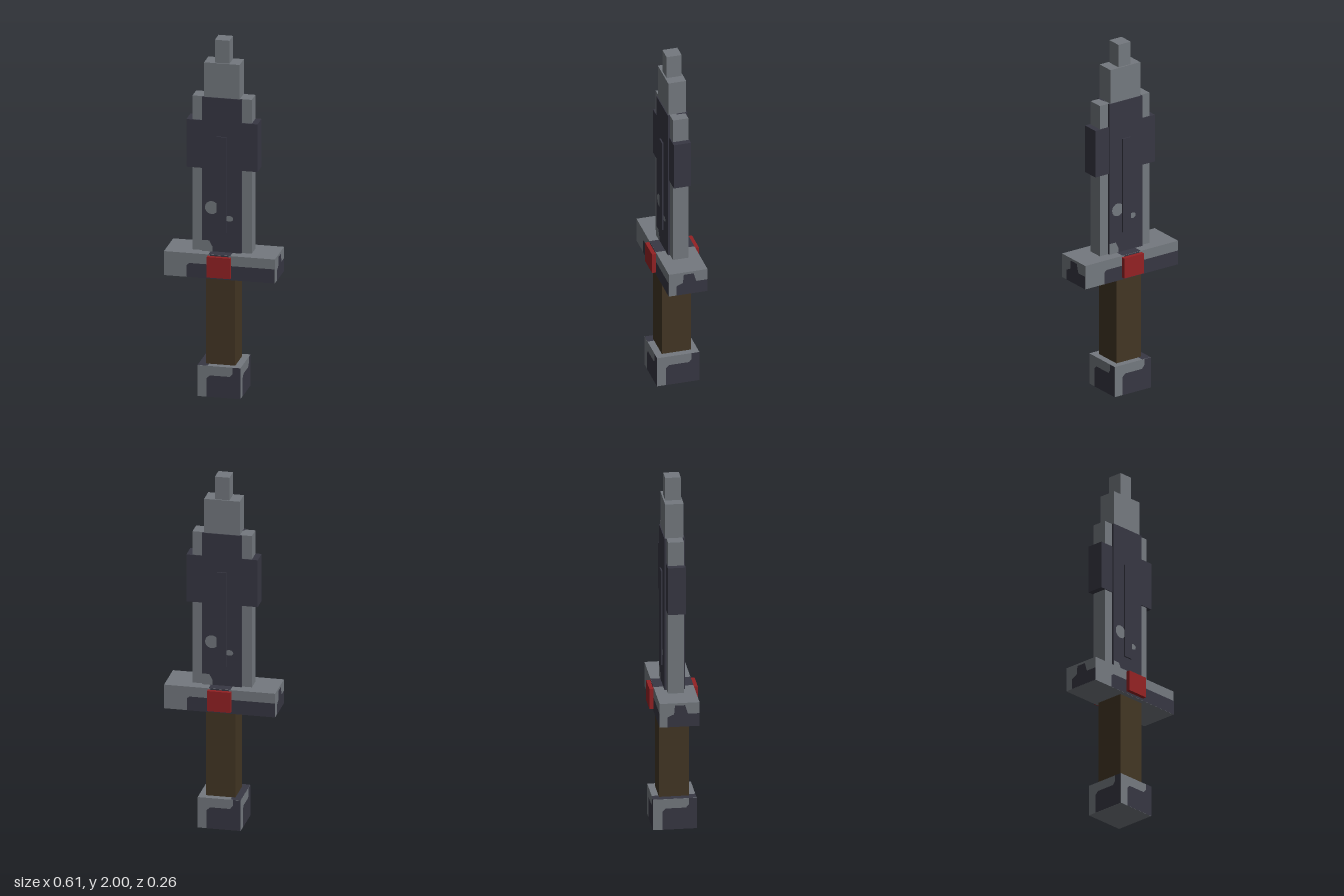
import * as THREE from 'three';

export function createModel() {
  const mat = (name, color) => {
    const m = new THREE.MeshStandardMaterial({ color });
    m.name = name;
    return m;
  };
  const steel = mat('grey steel', 0x74797f);
  const dark = mat('dark iron', 0x373743);
  const red = mat('red gem', 0x942224);
  const brown = mat('brown grip', 0x433624);

  const model = new THREE.Group();
  model.name = 'dagger';

  // Box from half width, bottom, top and half depth
  const block = (name, material, hx, y0, y1, hz, x = 0) => {
    const mesh = new THREE.Mesh(new THREE.BoxGeometry(hx * 2, y1 - y0, hz * 2), material);
    mesh.name = name;
    mesh.position.set(x, (y0 + y1) / 2, 0);
    model.add(mesh);
  };

  // Flat patch on a vertical face, turned about y and pushed out to the face
  const patch = (name, material, shape, distance, angle) => {
    const geometry = new THREE.ShapeGeometry(shape, 8);
    geometry.translate(0, 0, distance + 0.001);
    geometry.rotateY(angle);
    const mesh = new THREE.Mesh(geometry, material);
    mesh.name = name;
    model.add(mesh);
  };
  const outline = (points) => new THREE.Shape(points.map(([x, y]) => new THREE.Vector2(x, y)));
  const disc = (x, y, rx, ry) => {
    const s = new THREE.Shape();
    s.absellipse(x, y, rx, ry, 0, Math.PI * 2);
    return s;
  };

  // Handle
  block('pommel', steel, 0.118, 0, 0.175, 0.118);
  block('grip', brown, 0.081, 0.175, 0.667, 0.081);
  block('guard', steel, 0.305, 0.667, 0.803, 0.108);
  block('gem', red, 0.065, 0.68, 0.796, 0.131);

  // Blade
  block('bladeCore', steel, 0.163, 0.803, 1.675, 0.043);
  block('bladePanel', dark, 0.108, 0.803, 1.675, 0.055);
  block('bladeRidge', dark, 0.026, 0.915, 1.457, 0.063);
  block('upperBlade', steel, 0.098, 1.67, 1.87, 0.05);
  block('bladeTip', steel, 0.04, 1.87, 2, 0.042);
  for (const side of [-1, 1]) block('bladeWing', dark, 0.045, 1.27, 1.54, 0.048, side * 0.151);

  // Dark wear on the four pommel faces
  const pommelWear = outline([[-0.068, 0], [0.118, 0], [0.118, 0.175], [0.075, 0.175],
    [0.075, 0.14], [0.06, 0.122], [-0.05, 0.122], [-0.068, 0.105]]);
  for (let i = 0; i < 4; i++) patch('pommelWear', dark, pommelWear, 0.118, i * Math.PI / 2);

  const guardWear = outline([[-0.18, 0.667], [0.305, 0.667], [0.305, 0.747], [0.06, 0.747],
    [0.05, 0.803], [-0.05, 0.803], [-0.06, 0.747], [-0.165, 0.747], [-0.18, 0.735]]);
  const guardEndWear = outline([[-0.065, 0.667], [0.108, 0.667], [0.108, 0.74], [0.045, 0.74],
    [0.03, 0.79], [-0.025, 0.79], [-0.03, 0.74], [-0.065, 0.725]]);
  const corner = outline([[-0.108, 0.803], [-0.05, 0.803], [-0.05, 0.83],
    [-0.068, 0.865], [-0.108, 0.865]]);

  // Wear on the front and back, half a turn apart
  for (const angle of [0, Math.PI]) {
    patch('guardWear', dark, guardWear, 0.108, angle);
    patch('guardEndWear', dark, guardEndWear, 0.305, angle + Math.PI / 2);
    patch('bladeCornerSpot', steel, corner, 0.055, angle);
    patch('bladeLargeSpot', steel, disc(-0.055, 1.052, 0.037, 0.037), 0.055, angle);
    patch('bladeSmallSpot', steel, disc(0.042, 0.996, 0.022, 0.016), 0.055, angle);
  }

  // Dark strips on top of the guard and the pommel
  const topPlate = (name, x, y, w, d) => {
    const mesh = new THREE.Mesh(new THREE.PlaneGeometry(w, d).rotateX(-Math.PI / 2), dark);
    mesh.name = name;
    mesh.position.set(x, y + 0.001, 0);
    model.add(mesh);
  };
  topPlate('guardTopStrip', 0, 0.803, 0.12, 0.216);
  topPlate('pommelTopStrip', -0.09, 0.175, 0.056, 0.236);

  return model;
}
